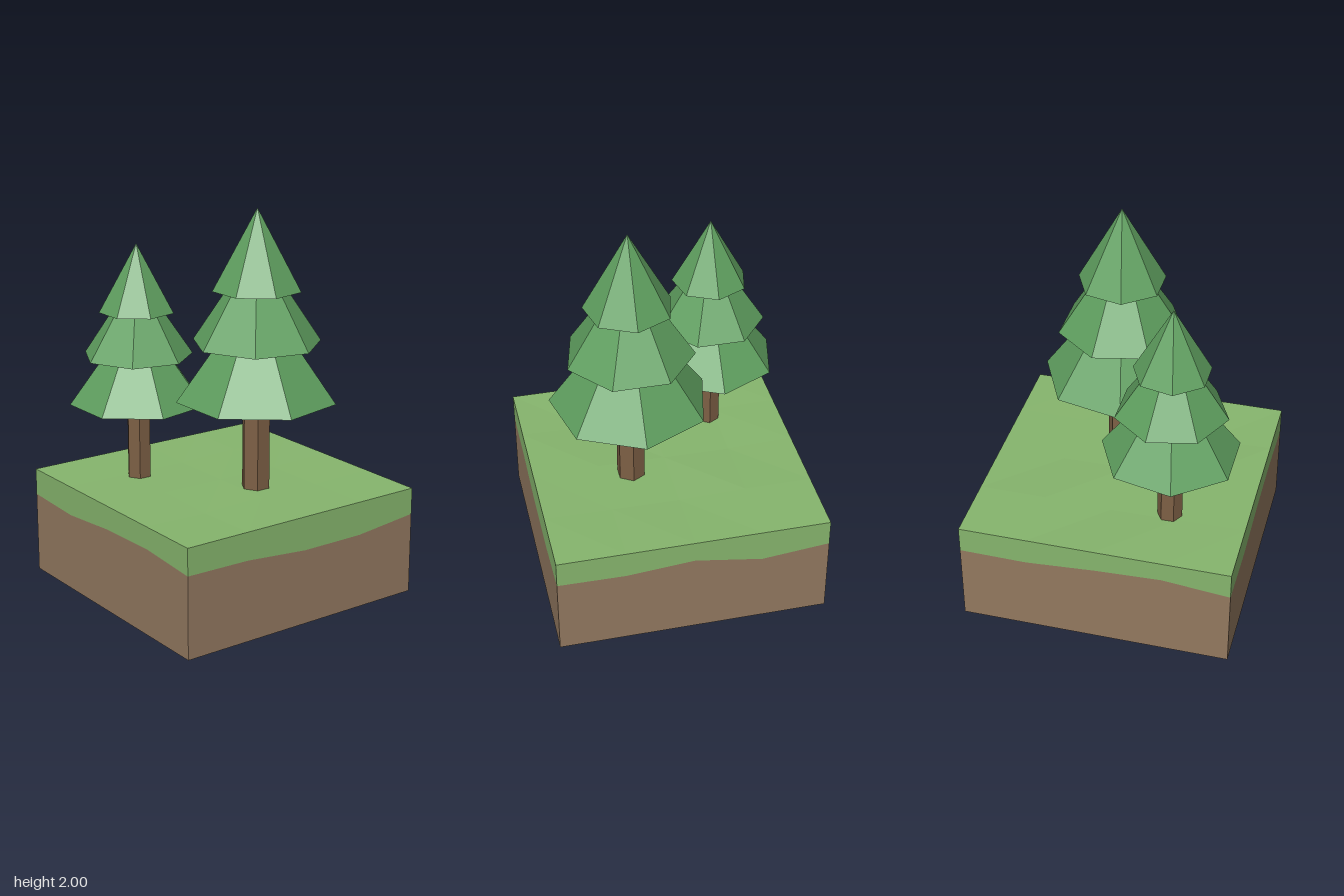
import * as THREE from 'three';

const HALF = 0.7, TOP = 0.565;

const paint = (color) => new THREE.MeshStandardMaterial({ color, flatShading: true });
const grass = paint(0x86b56d), soil = paint(0x92785f), bark = paint(0x7d6045), needles = paint(0x5f9f5f);

function add(parent, name, geometry, material, x = 0, y = 0, z = 0) {
  const mesh = new THREE.Mesh(geometry, material);
  mesh.name = name;
  mesh.position.set(x, y, z);
  parent.add(mesh);
  return mesh;
}

// Height of the grass/soil seam, anticlockwise from the front right-hand corner (-x, +z)
const SEAM = [
  0.425, 0.42, 0.39, 0.39, // front
  0.425, 0.42, 0.45, 0.39, // +x side
  0.425, 0.42, 0.445, 0.46, // back
  0.425, 0.41, 0.44, 0.45, // -x side
];

// Point i of the square outline, four steps per side
function outline(i) {
  const corners = [[-HALF, HALF], [HALF, HALF], [HALF, -HALF], [-HALF, -HALF]];
  const side = Math.floor(i / 4) % 4, t = (i % 4) / 4;
  const [a, b] = [corners[side], corners[(side + 1) % 4]];
  return [a[0] + (b[0] - a[0]) * t, a[1] + (b[1] - a[1]) * t];
}

// Wall band around the block between two height rules
function wall(low, high) {
  const pos = [];
  for (let i = 0; i < 16; i++) {
    const j = (i + 1) % 16;
    const [ax, az] = outline(i), [bx, bz] = outline(j);
    const a = [ax, low(i), az], b = [bx, low(j), bz], c = [bx, high(j), bz], d = [ax, high(i), az];
    pos.push(...a, ...b, ...c, ...a, ...c, ...d);
  }
  const g = new THREE.BufferGeometry();
  g.setAttribute('position', new THREE.Float32BufferAttribute(pos, 3));
  g.computeVertexNormals();
  return g;
}

function groundBlock() {
  const block = new THREE.Group();
  block.name = 'groundBlock';
  add(block, 'soilWalls', wall(() => 0, (i) => SEAM[i]), soil);
  add(block, 'grassWalls', wall((i) => SEAM[i], () => TOP), grass);
  add(block, 'soilBase', new THREE.PlaneGeometry(2 * HALF, 2 * HALF).rotateX(Math.PI / 2), soil);

  // Lawn with very shallow dips inside its level rim
  const lawn = new THREE.PlaneGeometry(2 * HALF, 2 * HALF, 4, 4).rotateX(-Math.PI / 2);
  const p = lawn.attributes.position;
  for (let i = 0; i < p.count; i++) {
    const x = p.getX(i), z = p.getZ(i);
    const inside = Math.max(Math.abs(x), Math.abs(z)) < HALF - 0.01;
    if (inside) p.setY(i, -0.006 * (1 + Math.sin(7 * x + 11 * z)));
  }
  lawn.computeVertexNormals();
  add(block, 'lawn', lawn, grass, 0, TOP, 0);
  return block;
}

// Tiers of a full-size tree: base height above ground, radius, cone height, turn
const TIERS = [
  [0.465, 0.41, 0.57, 0],
  [0.755, 0.33, 0.5, Math.PI / 7],
  [1.025, 0.226, 0.41, 0],
];

function tree(name, x, z, width, height) {
  const group = new THREE.Group();
  group.name = name;
  group.position.set(x, TOP, z);
  group.scale.set(width, height, width);
  // Six-sided trunk, sunk a little into the lawn
  add(group, 'trunk', new THREE.CylinderGeometry(0.075, 0.075, 0.54, 6, 1, false, Math.PI / 2), bark, 0, 0.25, 0);
  // Seven-sided overlapping cones
  for (const [base, radius, h, turn] of TIERS) {
    const cone = new THREE.ConeGeometry(radius, h, 7, 1, false, Math.PI / 2 + turn);
    add(group, 'foliageTier', cone, needles, 0, base + h / 2, 0);
  }
  return group;
}

export function createModel() {
  const model = new THREE.Group();
  model.name = 'pineTreesOnGround';
  model.add(
    groundBlock(),
    tree('tallTree', 0.08, 0.195, 1, 1),
    tree('shortTree', -0.3, -0.31, 0.863, 0.853),
  );
  return model;
}
